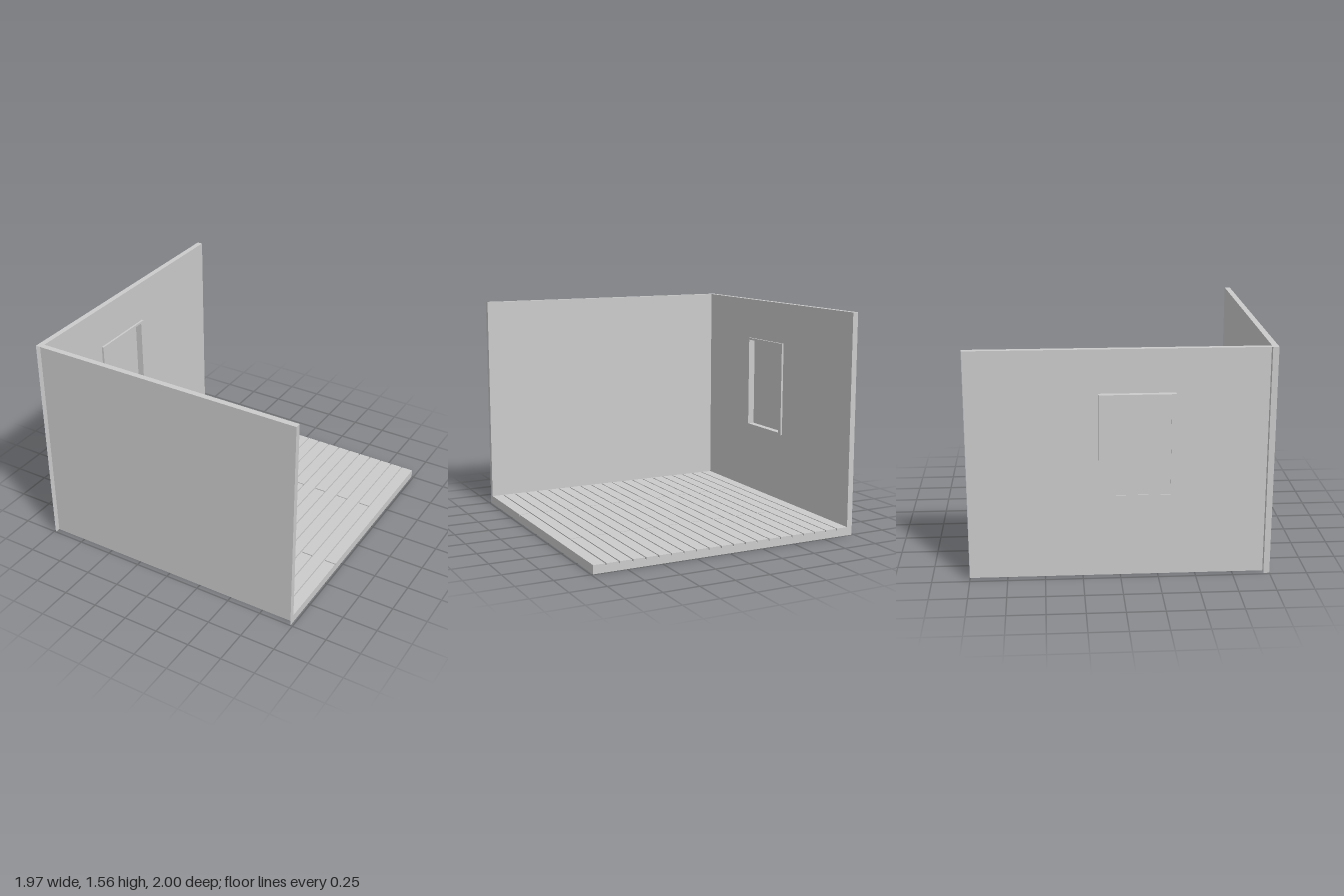
import * as THREE from 'three';

const material = new THREE.MeshStandardMaterial({ color: 0xcccccc, side: THREE.DoubleSide, flatShading: true });

// Room limits: outer edges and the inner wall planes
const X = 0.985, Z = 1, TOP = 1.56, WALL_X = -0.945, WALL_Z = 0.96;
const SLAB_TOP = 0.045, FLOOR_TOP = 0.06;

function add(parent, name, geometry) {
  const mesh = new THREE.Mesh(geometry, material);
  mesh.name = name;
  parent.add(mesh);
  return mesh;
}

// Flat panels lying across one axis, given as ranges on the other two
function panelX(parent, name, x, z0, z1, y0, y1, facing = 1) {
  const g = new THREE.PlaneGeometry(z1 - z0, y1 - y0).rotateY(facing * Math.PI / 2);
  return add(parent, name, g.translate(x, (y0 + y1) / 2, (z0 + z1) / 2));
}
function panelY(parent, name, y, x0, x1, z0, z1) {
  const g = new THREE.PlaneGeometry(x1 - x0, z1 - z0).rotateX(-Math.PI / 2);
  return add(parent, name, g.translate((x0 + x1) / 2, y, (z0 + z1) / 2));
}
function panelZ(parent, name, z, x0, x1, y0, y1) {
  const g = new THREE.PlaneGeometry(x1 - x0, y1 - y0).rotateY(Math.PI);
  return add(parent, name, g.translate((x0 + x1) / 2, (y0 + y1) / 2, z));
}

// Rectangle outline in (-z, y), used for the wall and window shapes
function outline(Type, z0, z1, y0, y1) {
  const p = new Type();
  p.moveTo(-z1, y0);
  p.lineTo(-z0, y0);
  p.lineTo(-z0, y1);
  p.lineTo(-z1, y1);
  p.closePath();
  return p;
}

function buildFloor() {
  const floor = new THREE.Group();
  floor.name = 'floor';

  // Tray under the boards, open at the bottom
  panelY(floor, 'floorBase', SLAB_TOP, WALL_X, X, -Z, WALL_Z);
  panelX(floor, 'floorBaseRightSide', WALL_X, -Z, WALL_Z, 0, SLAB_TOP, -1);
  panelX(floor, 'floorBaseLeftSide', X, -Z, WALL_Z, 0, SLAB_TOP);
  panelZ(floor, 'floorBaseBackSide', -Z, WALL_X, X, 0, SLAB_TOP);
  panelZ(floor, 'floorBaseFrontSide', WALL_Z, WALL_X, X, 0, SLAB_TOP);

  // Boards with joints staggered between neighbouring rows
  const rows = 21, gap = 0.009, pitch = (X - WALL_X + gap) / rows;
  for (let i = 0; i < rows; i++) {
    const joint = i % 2 ? -0.395 : 0.345;
    const x = WALL_X + i * pitch + (pitch - gap) / 2;
    for (const [z0, z1] of [[-Z, joint - gap / 2], [joint + gap / 2, WALL_Z]]) {
      const board = add(floor, 'floorBoard', new THREE.BoxGeometry(pitch - gap, FLOOR_TOP - SLAB_TOP, z1 - z0));
      board.position.set(x, (SLAB_TOP + FLOOR_TOP) / 2, (z0 + z1) / 2);
    }
  }
  return floor;
}

function buildWalls() {
  const walls = new THREE.Group();
  walls.name = 'walls';

  // Side wall face with the window opening
  const face = outline(THREE.Shape, -Z, WALL_Z, 0, TOP);
  face.holes.push(outline(THREE.Path, -0.115, 0.325, 0.58, 1.245));
  add(walls, 'sideWall', new THREE.ShapeGeometry(face).rotateY(Math.PI / 2).translate(WALL_X, 0, 0));
  panelX(walls, 'sideWallFrontEnd', -X, WALL_Z, Z, 0, TOP, -1);
  panelZ(walls, 'sideWallBackEnd', -Z, -X, WALL_X, 0, TOP);
  panelY(walls, 'sideWallTop', TOP, -X, WALL_X, -Z, WALL_Z);

  // Front wall: inner face, top edge and free end
  panelZ(walls, 'frontWall', WALL_Z, -X, X, 0, TOP);
  panelY(walls, 'frontWallTop', TOP, -X, X, WALL_Z, Z);
  panelX(walls, 'frontWallEnd', X, WALL_Z, Z, 0, TOP);
  return walls;
}

function buildWindow() {
  const group = new THREE.Group();
  group.name = 'window';

  // Frame runs through the wall and stands slightly proud of it
  const frame = outline(THREE.Shape, -0.145, 0.355, 0.565, 1.26);
  frame.holes.push(outline(THREE.Path, -0.115, 0.325, 0.58, 1.245));
  const depth = 0.054;
  const g = new THREE.ExtrudeGeometry(frame, { depth, bevelEnabled: false });
  add(group, 'windowFrame', g.rotateY(Math.PI / 2).translate(-0.93 - depth, 0, 0));

  // Pane at the back of the recess
  panelX(group, 'windowPane', -0.98, -0.115, 0.325, 0.58, 1.245);
  return group;
}

export function createModel() {
  const model = new THREE.Group();
  model.name = 'roomCorner';
  model.add(buildFloor(), buildWalls(), buildWindow());
  return model;
}
